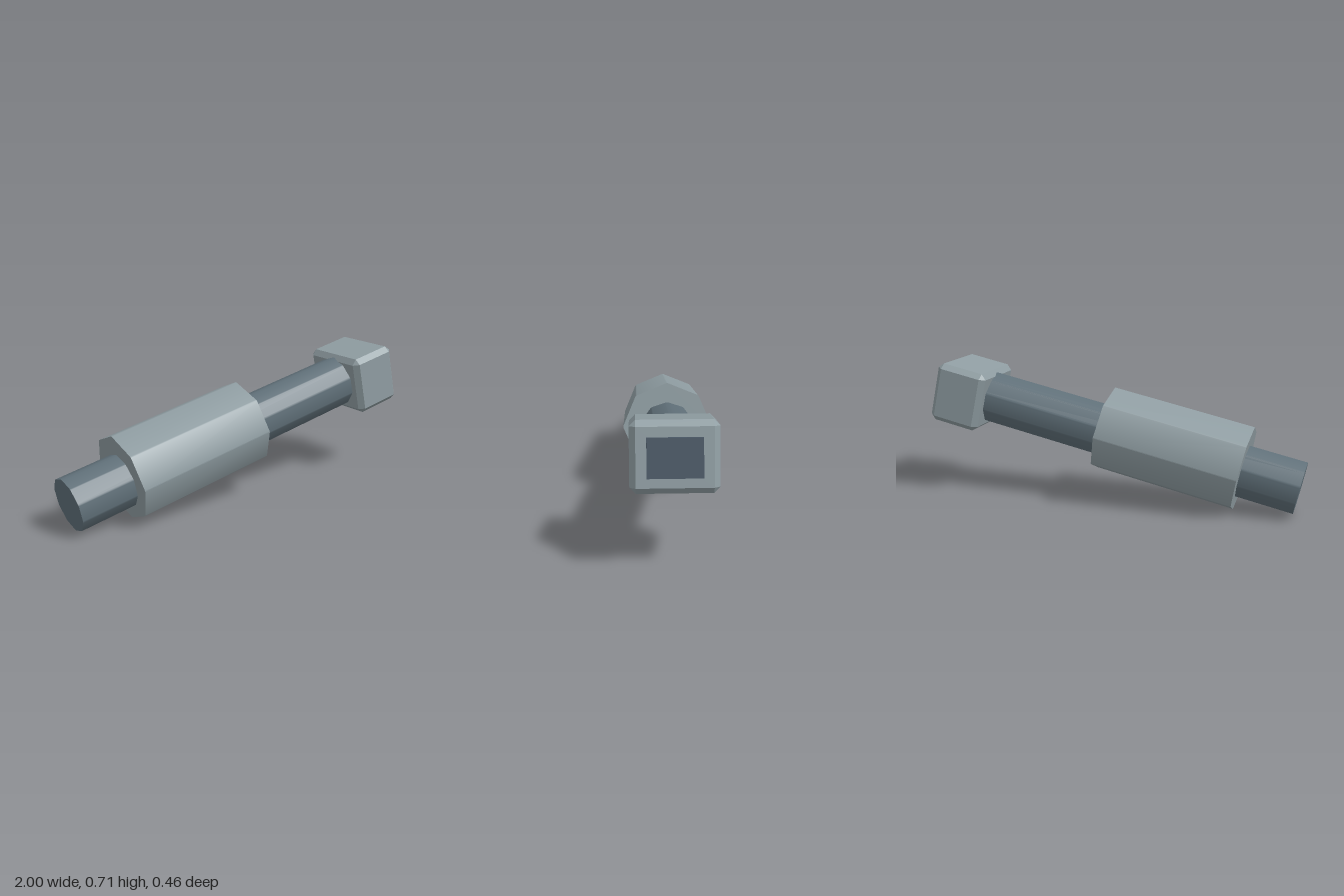
import * as THREE from 'three';
import { ConvexGeometry } from 'three/addons/geometries/ConvexGeometry.js';
import { toCreasedNormals } from 'three/addons/utils/BufferGeometryUtils.js';

const mat = (color) => new THREE.MeshStandardMaterial({ color });

// Regular prism along x with slightly softened long edges, one edge on top
function softPrism(sides, radiusY, radiusZ, length, fillet) {
  const corner = (i) => {
    const a = (i / sides) * Math.PI * 2;
    return new THREE.Vector2(Math.sin(a) * radiusZ, Math.cos(a) * radiusY);
  };
  const shape = new THREE.Shape();
  for (let i = 0; i < sides; i++) {
    const p = corner(i);
    const a = p.clone().lerp(corner(i - 1), fillet);
    const b = p.clone().lerp(corner(i + 1), fillet);
    if (i === 0) shape.moveTo(a.x, a.y);
    else shape.lineTo(a.x, a.y);
    shape.quadraticCurveTo(p.x, p.y, b.x, b.y);
  }
  shape.closePath();
  const geo = new THREE.ExtrudeGeometry(shape, { depth: length, bevelEnabled: false, curveSegments: 3 });
  geo.translate(0, 0, -length / 2).rotateY(Math.PI / 2);
  return toCreasedNormals(geo, 0.5);
}

// Box with every edge cut by a chamfer c
function chamferBox(w, h, d, c) {
  const points = [];
  for (const x of [-1, 1]) for (const y of [-1, 1]) for (const z of [-1, 1]) {
    const [X, Y, Z] = [w / 2, h / 2, d / 2];
    points.push(
      new THREE.Vector3(x * X, y * (Y - c), z * (Z - c)),
      new THREE.Vector3(x * (X - c), y * Y, z * (Z - c)),
      new THREE.Vector3(x * (X - c), y * (Y - c), z * Z));
  }
  return new ConvexGeometry(points);
}

export function createModel() {
  const model = new THREE.Group();
  model.name = 'tiltedDevice';
  const shell = mat(0x8f9da2);
  const metal = mat(0x607079);
  const glass = mat(0x4a5866);

  // Everything is laid out along one tilted axis
  const axis = new THREE.Group();
  axis.name = 'tiltedAxis';
  axis.position.set(-0.1325, 0.324, 0);
  axis.rotation.z = THREE.MathUtils.degToRad(12.4);
  model.add(axis);

  const add = (name, geometry, material, x, y) => {
    const mesh = new THREE.Mesh(geometry, material);
    mesh.name = name;
    mesh.position.set(x, y, 0);
    axis.add(mesh);
  };

  // Ten-sided rod running through the sleeve into the head
  add('rod', softPrism(10, 0.14, 0.141, 1.79, 0.12), metal, 0.038, 0);
  // Octagonal sleeve
  add('sleeve', softPrism(8, 0.226, 0.23, 0.75, 0.04), shell, -0.184, 0.014);
  // Chamfered head and its raised window
  add('head', chamferBox(0.275, 0.315, 0.386, 0.027), shell, 0.98, -0.0046);
  add('window', new THREE.BoxGeometry(0.04, 0.172, 0.24), glass, 1.12, -0.0046);

  return model;
}
